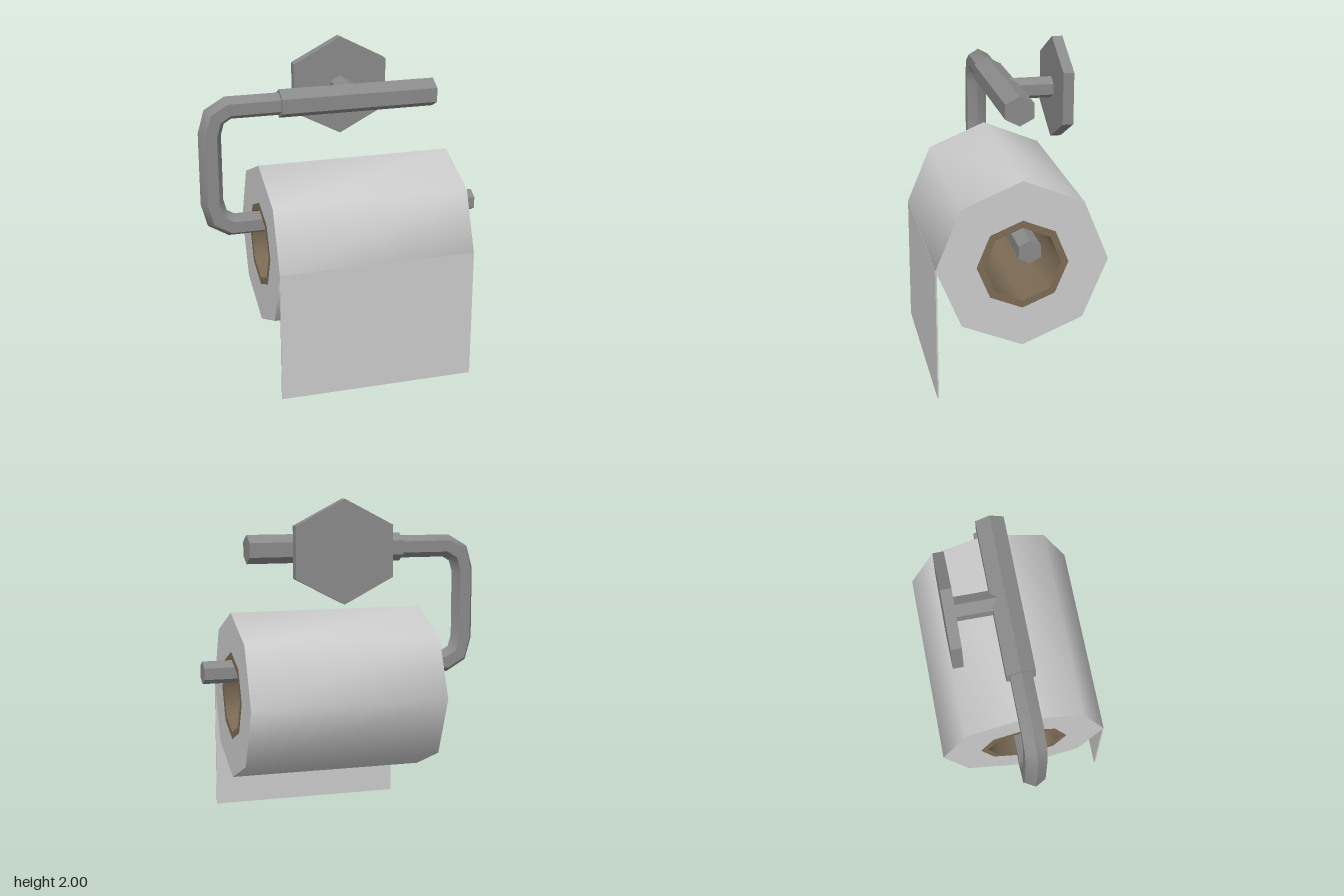
import * as THREE from 'three';
import { toCreasedNormals } from 'three/addons/utils/BufferGeometryUtils.js';

const CREASE = 0.9; // keeps hexagon edges sharp, octagons and bends smooth
const BAR_Y = 1.693;
const POST_X = 0.087;

const metal = new THREE.MeshStandardMaterial({ color: 0x8a8a8a });
const paper = new THREE.MeshStandardMaterial({ color: 0xcccccc });
const card = new THREE.MeshStandardMaterial({ color: 0x7c6b55 });

function part(name, geometry, material) {
  const mesh = new THREE.Mesh(toCreasedNormals(geometry, CREASE), material);
  mesh.name = name;
  return mesh;
}

// Hexagonal prism with a corner on top, lying along x or z
function hexBar(axis, from, to, halfHeight, halfWidth) {
  const alongX = axis === 'x';
  const g = new THREE.CylinderGeometry(halfHeight, halfHeight, to - from, 6, 1, false, alongX ? Math.PI / 2 : 0);
  const stretch = halfWidth / (halfHeight * Math.cos(Math.PI / 6));
  if (alongX) g.rotateZ(-Math.PI / 2).scale(1, 1, stretch).translate((from + to) / 2, 0, 0);
  else g.rotateX(Math.PI / 2).scale(stretch, 1, 1).translate(0, 0, (from + to) / 2);
  return g;
}

// Octagonal ring lying along x
function octTube(inner, outer, from, to) {
  const profile = [[inner, from], [outer, from], [outer, to], [inner, to], [inner, from]];
  return new THREE.LatheGeometry(profile.map(([r, y]) => new THREE.Vector2(r, y)), 8).rotateZ(-Math.PI / 2);
}

// Hexagonal section swept along a path in the xy plane, with mitred joints
function hexSweep(path, radius, halfDepth) {
  const pts = path.map(([x, y]) => new THREE.Vector2(x, y));
  const pos = [], idx = [], n = 6, last = pts.length - 1;
  pts.forEach((p, i) => {
    const a = pts[Math.max(i, 1)].clone().sub(pts[Math.max(i, 1) - 1]).normalize();
    const k = Math.min(i, last - 1);
    const b = pts[k + 1].clone().sub(pts[k]).normalize();
    const t = a.clone().add(b).normalize();
    const r = radius / t.dot(a);
    for (let j = 0; j < n; j++) {
      const ang = (j / n) * Math.PI * 2;
      const c = Math.cos(ang) * r;
      pos.push(p.x - t.y * c, p.y + t.x * c, Math.sin(ang) * halfDepth / Math.cos(Math.PI / 6));
    }
  });
  for (let i = 0; i < last; i++) {
    for (let j = 0; j < n; j++) {
      const a = i * n + j, b = i * n + (j + 1) % n;
      idx.push(a, b, a + n, b, b + n, a + n);
    }
  }
  const e = last * n;
  for (let j = 1; j < n - 1; j++) idx.push(0, j + 1, j, e, e + j, e + j + 1);
  const g = new THREE.BufferGeometry();
  g.setAttribute('position', new THREE.Float32BufferAttribute(pos, 3));
  g.setIndex(idx);
  return g;
}

export function createModel() {
  const model = new THREE.Group();
  model.name = 'toiletRollHolder';

  // Wall plate, post and sleeve
  const plate = part('wallPlate', hexBar('z', -0.364, -0.3, 0.3075, 0.297), metal);
  const post = part('post', hexBar('z', -0.31, 0, 0.065, 0.063), metal);
  for (const m of [plate, post]) m.position.set(POST_X, BAR_Y, 0);
  const sleeve = part('sleeve', hexBar('x', -0.38, 0.59, 0.0875, 0.084), metal);
  sleeve.position.y = BAR_Y;

  // Bent arm: upper bar, bend, upright, bend, lower bar
  const arm = part('bentArm', hexSweep([
    [-0.3, BAR_Y], [-0.69, BAR_Y], [-0.775, 1.643], [-0.804, 1.54],
    [-0.804, 1.115], [-0.775, 1.01], [-0.69, 0.96], [0.87, 0.96],
  ], 0.069, 0.063), metal);

  // Paper roll, card core and hanging sheet
  const roll = part('paperRoll', octTube(0.27, 0.507, -0.515, 0.692), paper);
  const core = part('cardCore', octTube(0.226, 0.27, -0.515, 0.692), card);
  for (const m of [roll, core]) m.position.y = 0.81;
  const sheet = part('hangingSheet', new THREE.BoxGeometry(1.207, 0.81, 0.009), paper);
  sheet.position.set(0.0885, 0.405, 0.5035);

  model.add(plate, post, sleeve, arm, roll, core, sheet);
  return model;
}
